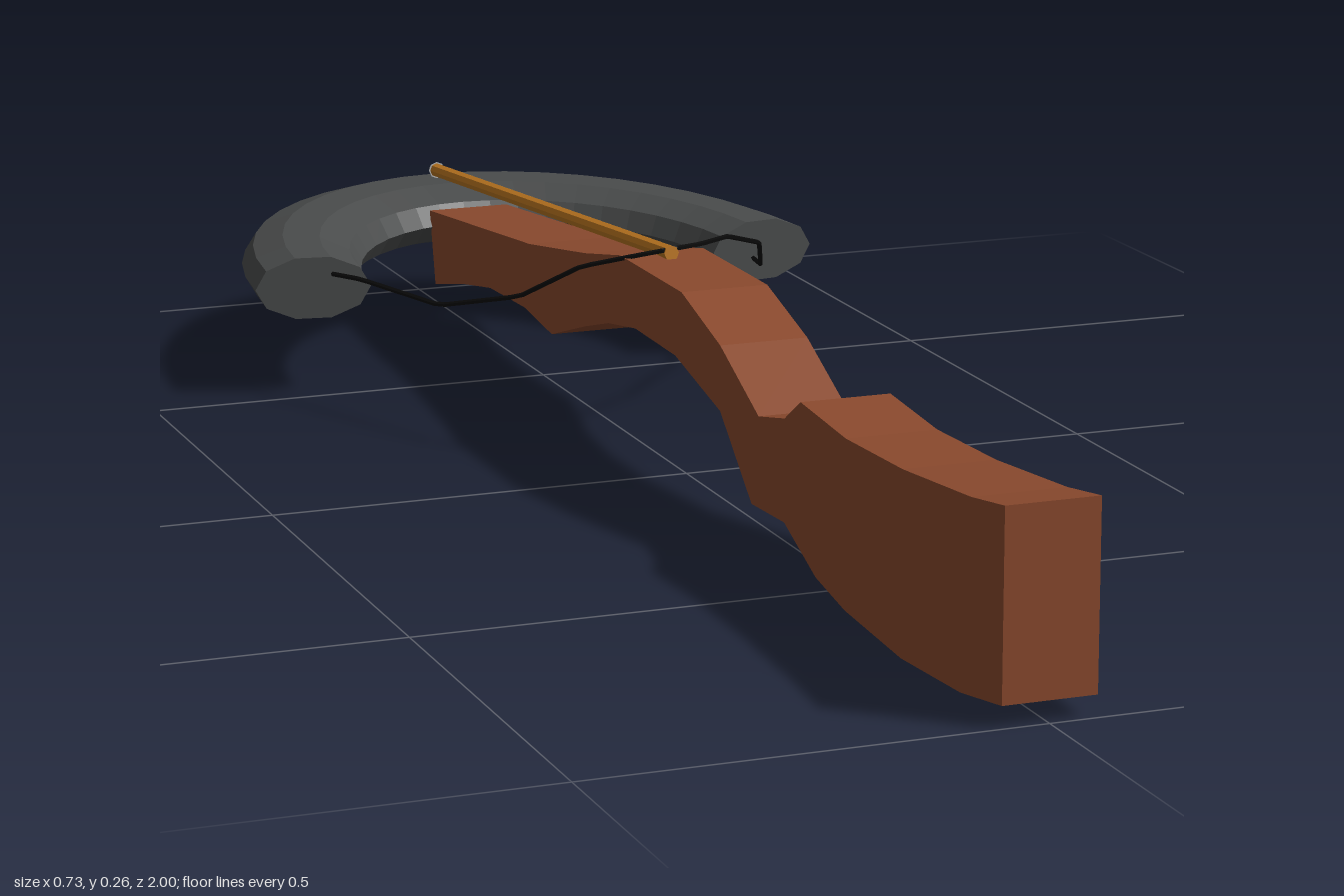
import * as THREE from 'three';
import { mergeGeometries } from 'three/addons/utils/BufferGeometryUtils.js';

const material = (color) => new THREE.MeshStandardMaterial({ color, flatShading: true });

function part(name, geometry, mat) {
  const mesh = new THREE.Mesh(geometry, mat);
  mesh.name = name;
  return mesh;
}

// Stock: side profile as (z, y), extruded across the width
function stockGeometry() {
  const width = 0.104;
  const top = [
    [1, 0.228], [0.92, 0.216], [0.75, 0.201], [0.6, 0.196], [0.475, 0.205], [0.43, 0.176],
    [0.355, 0.16], [0.24, 0.213], [0.12, 0.247], [-0.08, 0.247], [-0.2, 0.224], [-0.4, 0.193], [-0.79, 0.155],
  ];
  const bottom = [
    [-0.77, 0.062], [-0.65, 0.088], [-0.55, 0.105], [-0.42, 0.109], [-0.32, 0.098], [-0.2, 0.135],
    [-0.12, 0.157], [-0.03, 0.171], [0.1, 0.169], [0.24, 0.138], [0.335, 0.056], [0.43, 0.06],
    [0.52, 0.023], [0.6, 0.009], [0.75, 0], [0.9, 0.008], [1, 0.024],
  ];
  const shape = new THREE.Shape([...top, ...bottom].map(([z, y]) => new THREE.Vector2(-z, y)));
  const geometry = new THREE.ExtrudeGeometry(shape, { depth: width, bevelEnabled: false });
  return geometry.translate(0, 0, -width / 2).rotateY(Math.PI / 2);
}

// Bow: a stretched partial torus with capped ends
function bowGeometry() {
  const radius = 0.297, tube = 0.071, sides = 10, start = 0.107;
  const arc = Math.PI - 2 * start;
  const cap = (tilt, angle) =>
    new THREE.CircleGeometry(tube, sides).rotateX(tilt).translate(radius, 0, 0).rotateZ(angle);
  const geometry = mergeGeometries([
    new THREE.TorusGeometry(radius, tube, sides, 20, arc).rotateZ(start),
    cap(Math.PI / 2, start),
    cap(-Math.PI / 2, start + arc),
  ]);
  return geometry.rotateX(-Math.PI / 2).scale(1, 0.04 / tube, 1.46).translate(0, 0.135, -0.46);
}

// String: a thin tube through straight segments
function stringGeometry() {
  const points = [
    [-0.272, 0.152, -0.5], [-0.255, 0.157, -0.44], [-0.2, 0.151, -0.3], [-0.14, 0.182, -0.185],
    [-0.09, 0.23, -0.11], [-0.04, 0.251, -0.055], [0, 0.259, -0.04], [0.05, 0.251, -0.085],
    [0.11, 0.242, -0.15], [0.19, 0.207, -0.25], [0.26, 0.138, -0.42], [0.272, 0.133, -0.475],
  ].map((p) => new THREE.Vector3(...p));
  const path = new THREE.CurvePath();
  for (let i = 1; i < points.length; i++) path.add(new THREE.LineCurve3(points[i - 1], points[i]));
  return new THREE.TubeGeometry(path, 60, 0.003, 5);
}

// Bolt: shaft and pointed head built along +y, then laid from nock to tip
function createBolt() {
  const nock = new THREE.Vector3(-0.003, 0.254, -0.04);
  const tip = new THREE.Vector3(-0.011, 0.184, -0.915);
  const direction = tip.clone().sub(nock);
  const length = direction.length(), head = 0.03, radius = 0.009;
  const bolt = new THREE.Group();
  bolt.name = 'bolt';
  bolt.add(
    part('boltShaft', new THREE.CylinderGeometry(radius, radius, length - head, 8)
      .translate(0, (length - head) / 2, 0), material(0xc17a22)),
    part('boltHead', new THREE.ConeGeometry(radius * 1.2, head, 8)
      .translate(0, length - head / 2, 0), material(0xb0b0b0)),
  );
  bolt.position.copy(nock);
  bolt.quaternion.setFromUnitVectors(new THREE.Vector3(0, 1, 0), direction.normalize());
  return bolt;
}

export function createModel() {
  const group = new THREE.Group();
  group.name = 'crossbow';
  group.add(
    part('stock', stockGeometry(), material(0x8b4a2e)),
    part('bow', bowGeometry(), material(0x4a4c4c)),
    part('string', stringGeometry(), material(0x0a0a0a)),
    createBolt(),
  );
  return group;
}
